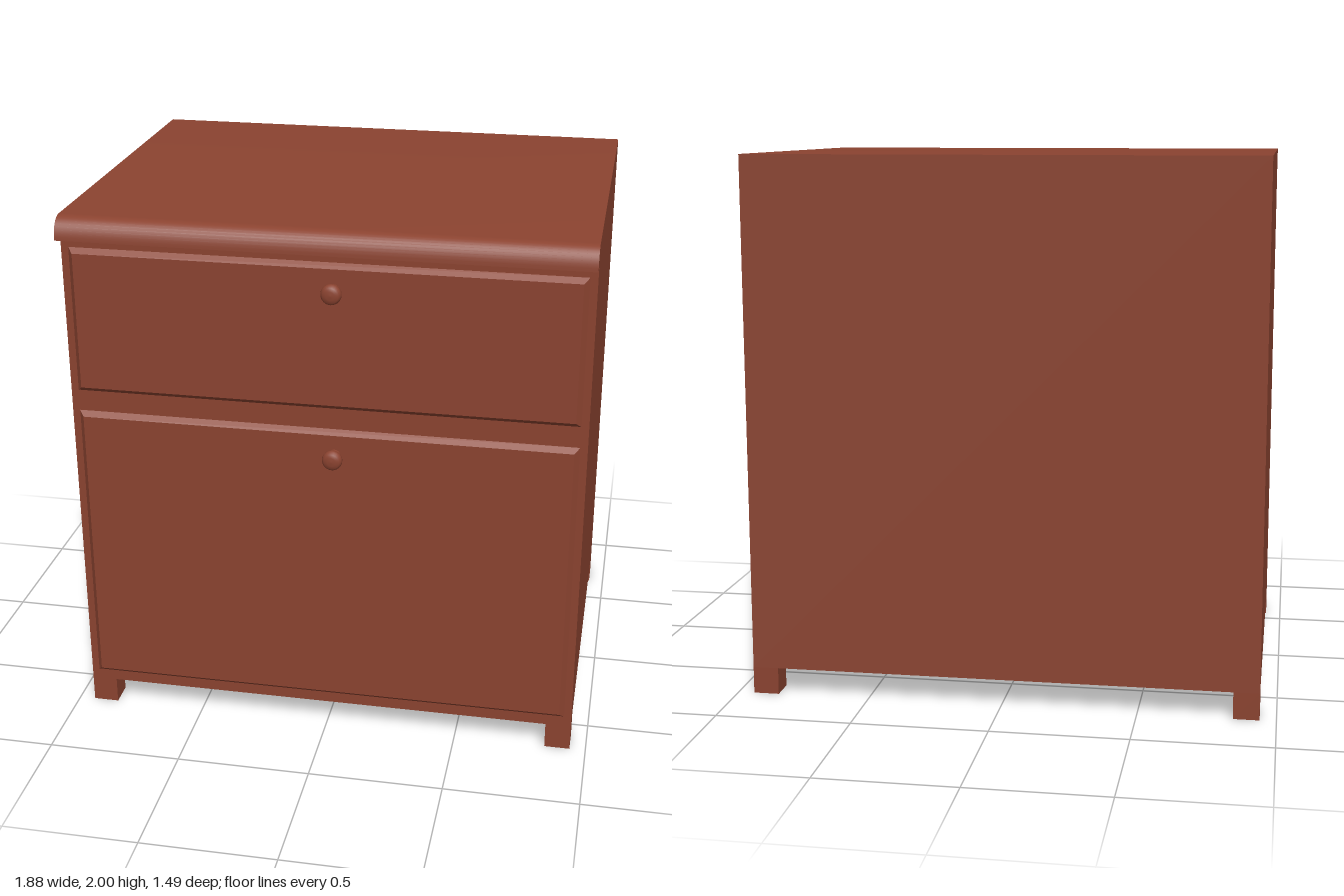
import * as THREE from 'three';
import { toCreasedNormals } from 'three/addons/utils/BufferGeometryUtils.js';

const HALF_W = 0.94, BACK = -0.745, FRONT = 0.665, BASE = 0.1, LEG = 0.095;

export function createModel() {
  const model = new THREE.Group();
  model.name = 'nightstand';
  const wood = new THREE.MeshStandardMaterial({ color: 0x8b4330 });

  const add = (name, geometry, x = 0, y = 0, z = 0, parent = model) => {
    const mesh = new THREE.Mesh(geometry, wood);
    mesh.name = name;
    mesh.position.set(x, y, z);
    parent.add(mesh);
    return mesh;
  };

  // Cabinet: side profile (z, y) with a rounded overhanging lip, swept across the width
  const profile = new THREE.Shape();
  profile.moveTo(BACK, BASE);
  profile.lineTo(FRONT, BASE);
  profile.lineTo(FRONT, 1.92);
  profile.lineTo(0.725, 1.92);
  profile.bezierCurveTo(0.725, 1.965, 0.7, 2, 0.66, 2);
  profile.lineTo(BACK, 2);
  profile.closePath();
  const cabinet = new THREE.ExtrudeGeometry(profile, { depth: HALF_W * 2, bevelEnabled: false, curveSegments: 10 });
  cabinet.rotateY(-Math.PI / 2).translate(HALF_W, 0, 0);
  add('cabinet', toCreasedNormals(cabinet, 0.6));

  // Four square corner legs
  for (const x of [-HALF_W + LEG / 2, HALF_W - LEG / 2]) {
    for (const z of [BACK + LEG / 2, FRONT - LEG / 2]) {
      add('leg', new THREE.BoxGeometry(LEG, BASE, LEG), x, BASE / 2, z);
    }
  }

  // Drawer panel: a slab whose front face is inset to give chamfered edges
  const panelGeometry = (width, height, depth, inset) => {
    const box = new THREE.BoxGeometry(width, height, depth).toNonIndexed();
    const p = box.attributes.position;
    for (let i = 0; i < p.count; i++) {
      if (p.getZ(i) > 0) {
        p.setX(i, p.getX(i) - Math.sign(p.getX(i)) * inset);
        p.setY(i, p.getY(i) - Math.sign(p.getY(i)) * inset);
      }
    }
    box.computeVertexNormals();
    return box;
  };

  // Turned knob: narrow stem, flaring into a rounded head
  const knobProfile = [
    [0.024, 0], [0.022, 0.012], [0.023, 0.02], [0.031, 0.026], [0.036, 0.034],
    [0.037, 0.042], [0.035, 0.051], [0.028, 0.058], [0.015, 0.061], [0, 0.062],
  ].map(([r, h]) => new THREE.Vector2(r, h));
  const knob = new THREE.LatheGeometry(knobProfile, 24).rotateX(Math.PI / 2);

  const drawers = [
    { name: 'upperDrawer', bottom: 1.335, top: 1.88, knobY: 1.785 },
    { name: 'lowerDrawer', bottom: 0.142, top: 1.255, knobY: 1.16 },
  ];
  for (const { name, bottom, top, knobY } of drawers) {
    const drawer = new THREE.Group();
    drawer.name = name;
    model.add(drawer);
    add('panel', panelGeometry(1.826, top - bottom, 0.02, 0.018), 0, (top + bottom) / 2, FRONT + 0.01, drawer);
    add('knob', knob, 0.042, knobY, FRONT + 0.019, drawer);
  }
  return model;
}
